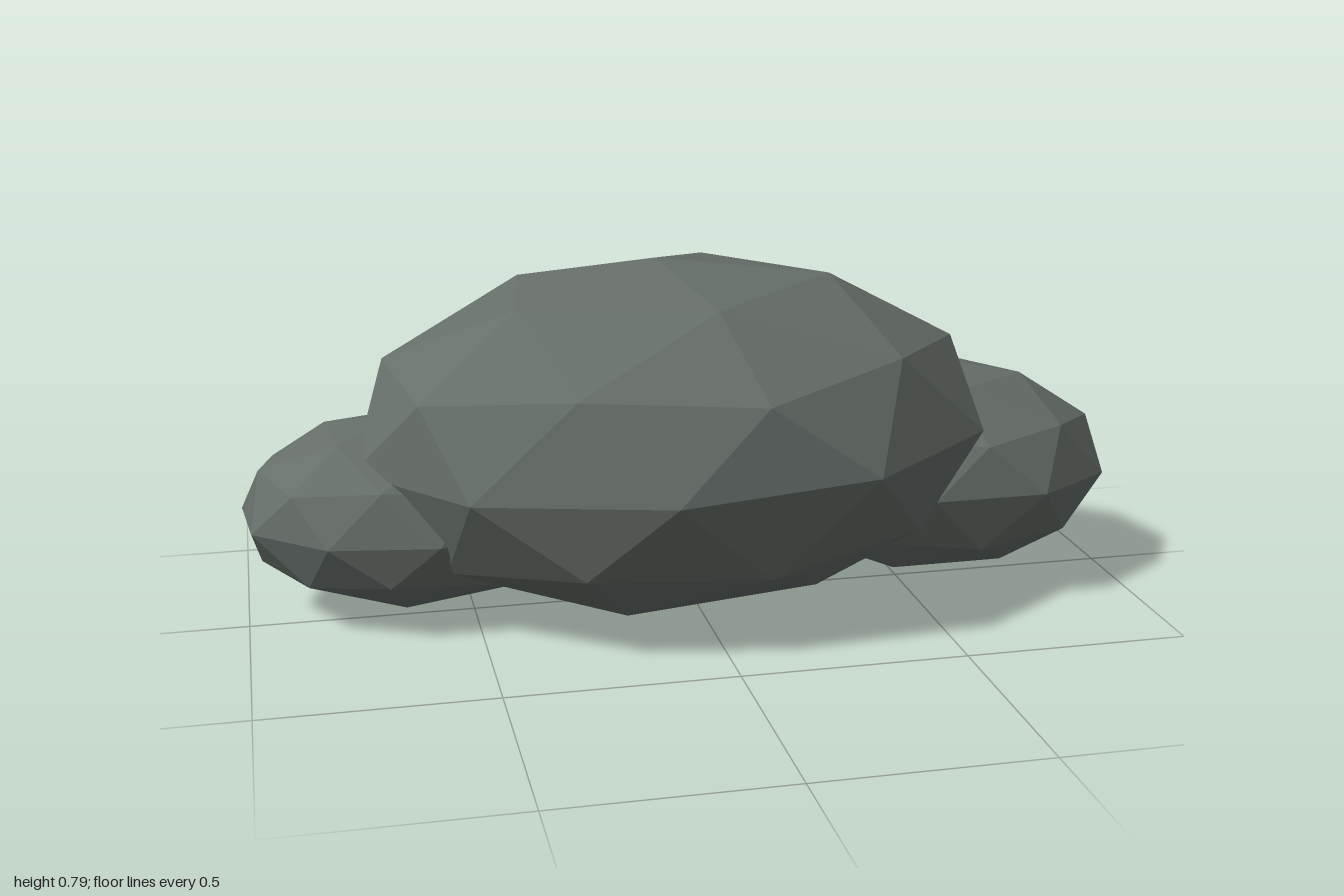
import * as THREE from 'three';

const stone = new THREE.MeshStandardMaterial({ color: 0x666e69, flatShading: true });
stone.name = 'mossy grey stone';

// Faceted ellipsoid with a vertex on its up axis; side, up and front are its half-axes.
function makeRock(name, center, side, up, front) {
  const geometry = new THREE.IcosahedronGeometry(1, 1);
  geometry.rotateZ(Math.atan(2 / (1 + Math.sqrt(5)))); // bring a corner to the top
  geometry.rotateY(Math.PI); // point an upper-ring corner sideways
  const v = (a) => new THREE.Vector3(...a);
  geometry.applyMatrix4(new THREE.Matrix4().makeBasis(v(side), v(up), v(front)));
  geometry.computeVertexNormals();
  const rock = new THREE.Mesh(geometry, stone);
  rock.name = name;
  rock.position.set(...center);
  return rock;
}

export function createModel() {
  const group = new THREE.Group();
  group.name = 'rockCluster';
  group.add(
    // Large boulder in the middle
    makeRock('mainBoulder', [-0.055, 0.403, -0.003],
      [0.717, 0.04, 0.12], [-0.025, 0.397, 0.01], [-0.075, -0.02, 0.507]),
    // Smaller stones tucked against its ends
    makeRock('leftStone', [0.57, 0.27, -0.065],
      [0.425, 0, 0.1], [0, 0.252, 0], [-0.07, 0.005, 0.333]),
    makeRock('rightStone', [-0.62, 0.232, -0.095],
      [0.392, 0, -0.035], [-0.015, 0.218, 0], [0.03, 0, 0.307]),
  );
  return group;
}
